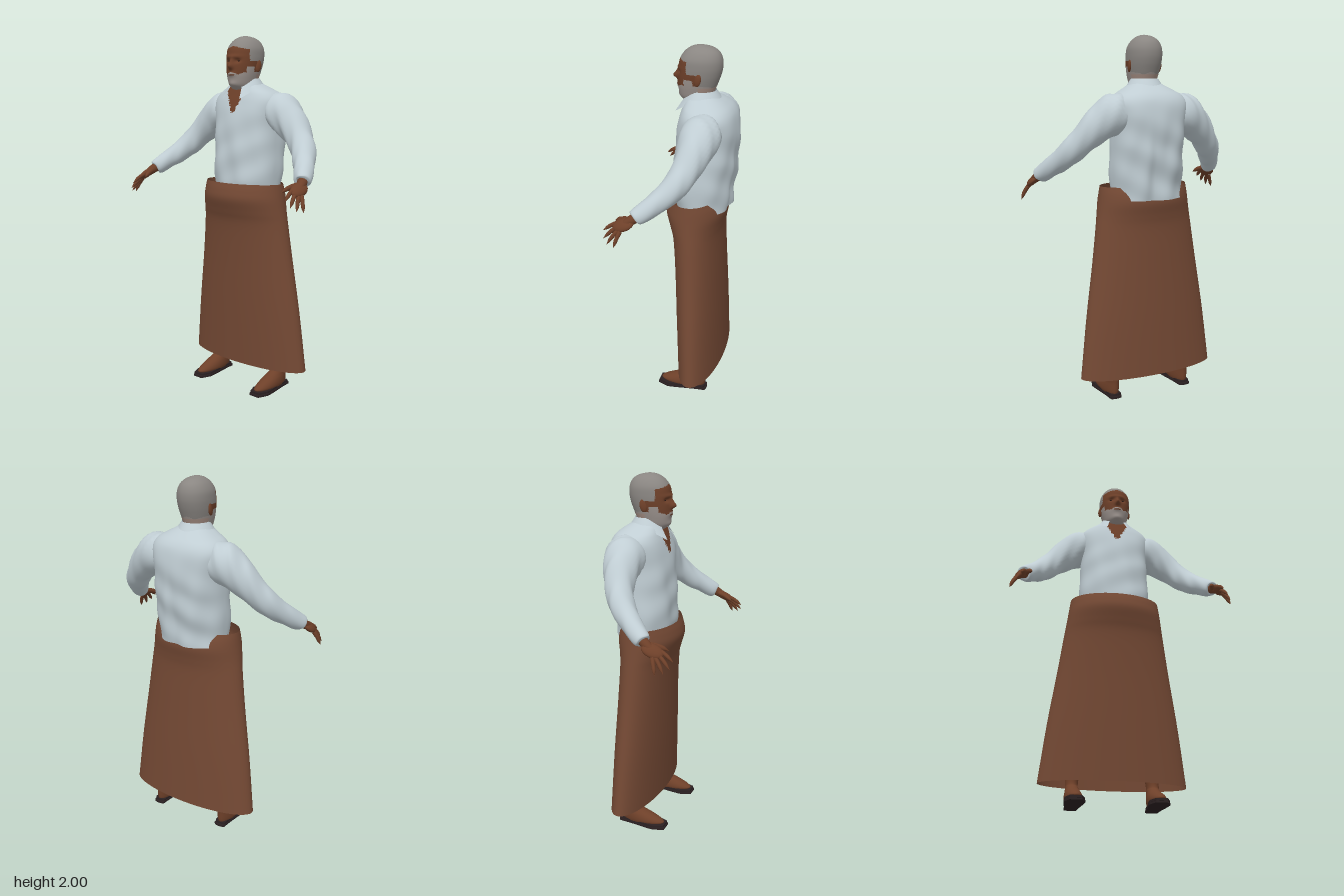
import * as THREE from 'three';
import { mergeVertices } from 'three/addons/utils/BufferGeometryUtils.js';

const V = (x, y, z) => new THREE.Vector3(x, y, z);

function paint(name, color, side = THREE.FrontSide) {
  const m = new THREE.MeshStandardMaterial({ color, side });
  m.name = name;
  return m;
}

// Smooth curve through table rows, each row being one cross-section
function sampler(rows) {
  const size = rows[0].length;
  const spline = new THREE.CubicInterpolant(
    Float32Array.from(rows.keys()), Float32Array.from(rows.flat()), size, new Float32Array(size));
  return t => Array.from(spline.evaluate(t * (rows.length - 1)));
}

// Grid surface; rule(x, y, z) picks the material index of each triangle
function grid(name, nu, nv, point, mats, rule = () => 0) {
  const pos = [], buckets = mats.map(() => []);
  for (let j = 0; j <= nv; j++)
    for (let i = 0; i <= nu; i++) pos.push(...point(i / nu, j / nv));
  const face = (...ids) => {
    const c = [0, 1, 2].map(k => ids.reduce((s, id) => s + pos[id * 3 + k], 0) / 3);
    buckets[rule(...c)].push(...ids);
  };
  for (let j = 0; j < nv; j++)
    for (let i = 0; i < nu; i++) {
      const a = j * (nu + 1) + i, b = a + 1, c = b + nu + 1, d = a + nu + 1;
      face(a, b, c);
      face(a, c, d);
    }
  let geo = new THREE.BufferGeometry();
  geo.setAttribute('position', new THREE.Float32BufferAttribute(pos, 3));
  geo.setIndex(buckets.flat());
  let start = 0;
  buckets.forEach((b, i) => { geo.addGroup(start, b.length, i); start += b.length; });
  geo = mergeVertices(geo, 1e-5);
  geo.computeVertexNormals();
  const mesh = new THREE.Mesh(geo, mats);
  mesh.name = name;
  return mesh;
}

// Stack of horizontal rings; rows are [y, centre x, half width, back z, front z]
function loft(name, rows, nu, nv, mats, { power = 2, rule, shape = p => p } = {}) {
  const at = sampler(rows);
  const bend = v => Math.sign(v) * Math.abs(v) ** (2 / power);
  return grid(name, nu, nv, (u, v) => {
    const [y, cx, rx, zb, zf] = at(v), a = (u % 1) * Math.PI * 2;
    return shape([cx + rx * bend(Math.sin(a)), y, (zb + zf) / 2 + (zf - zb) / 2 * bend(Math.cos(a))]);
  }, mats, rule);
}

// Round limb along a path with changing radius
function limb(name, path, radii, nu, nv, mat, shape = p => p) {
  const curve = new THREE.CatmullRomCurve3(path);
  const frames = curve.computeFrenetFrames(nv), radius = sampler(radii.map(r => [r]));
  return grid(name, nu, nv, (u, v) => {
    const a = (u % 1) * Math.PI * 2, k = Math.round(v * nv), r = radius(v)[0];
    const p = curve.getPoint(v)
      .addScaledVector(frames.normals[k], r * Math.cos(a))
      .addScaledVector(frames.binormals[k], r * Math.sin(a));
    return shape(p.toArray());
  }, [mat]);
}

const bump = (x, y, sx, sy) => Math.exp(-((x / sx) ** 2) - (y / sy) ** 2);

export function createModel() {
  const model = new THREE.Group();
  const skin = paint('skin', 0x6e4029);
  const napeSkin = paint('nape skin', 0xa68f84);
  const hair = paint('grey hair', 0x8a8682);
  const beard = paint('beard', 0x9c938e);
  const shirt = paint('shirt cloth', 0xc0cdd3, THREE.DoubleSide);
  const cloth = paint('skirt cloth', 0x744934, THREE.DoubleSide);
  const sole = paint('sandal', 0x2b2122);
  const dark = paint('eyes', 0x2c1a14);

  // Long wrapped skirt, open at both ends
  model.add(loft('skirt', [
    [0.125, 0, 0.405, -0.24, 0.01], [0.45, 0, 0.365, -0.232, 0.027], [0.75, 0, 0.32, -0.221, 0.042],
    [0.95, 0, 0.292, -0.215, 0.058], [1.03, 0, 0.28, -0.222, 0.08], [1.1, 0, 0.27, -0.235, 0.102],
    [1.15, 0, 0.263, -0.228, 0.095], [1.19, 0, 0.257, -0.21, 0.08],
  ], 64, 36, [cloth]));

  // Shirt body with soft folds and an open V neck
  const folds = ([x, y, z]) => {
    const low = THREE.MathUtils.clamp((1.66 - y) * 4, 0, 1);
    const f = low * 0.005 * (Math.sin(x * 42 + y * 9) + Math.sin(y * 34 - x * 16));
    const groove = z < -0.1 ? low * 0.012 * bump(x - 0.03, y - 1.35, 0.03, 0.25) : 0;
    return [x * (1 + f), y, z + (z > -0.1 ? f * 0.7 : -f) + groove];
  };
  model.add(loft('shirtBody', [
    [1.12, 0, 0.195, -0.25, 0.04], [1.2, 0, 0.2, -0.255, 0.06], [1.3, 0, 0.204, -0.27, 0.06],
    [1.4, 0, 0.2, -0.28, 0.058], [1.5, 0, 0.2, -0.286, 0.05], [1.58, 0, 0.21, -0.284, 0.04],
    [1.64, 0, 0.215, -0.272, 0.025], [1.68, 0, 0.19, -0.25, 0.012], [1.71, 0, 0.14, -0.215, 0.002],
    [1.735, 0, 0.095, -0.175, -0.008], [1.75, 0, 0.072, -0.155, -0.015],
  ], 112, 70, [shirt, skin], {
    power: 2.4, shape: folds,
    rule: (x, y, z) => (z > -0.06 && Math.abs(x) < (y - 1.565) * 0.5 ? 1 : 0),
  }));

  // Folded collar, open at the front with dropped points
  model.add(grid('collar', 48, 6, (u, v) => {
    const a = 0.5 + u * (Math.PI * 2 - 1), front = Math.max(0, Math.cos(a)) ** 2;
    const r = 0.074 + 0.034 * v + 0.02 * v * front;
    return [Math.sin(a) * r, 1.768 - 0.03 * front - v * (0.05 + 0.05 * front),
      -0.078 + Math.cos(a) * (r + 0.006 + 0.02 * v * front)];
  }, [shirt]));

  // Neck
  model.add(loft('neck', [
    [1.62, 0, 0.062, -0.14, -0.01], [1.7, 0, 0.06, -0.14, -0.012], [1.78, 0, 0.062, -0.145, -0.02],
  ], 40, 14, [skin, napeSkin], { rule: (x, y, z) => (z < -0.05 ? 1 : 0) }));

  // Head with brow, sockets, nose, lips and coloured hair and beard areas
  const features = ([x, y, z]) => {
    if (z < -0.02) return [x, y, z];
    const ax = Math.abs(x);
    return [x, y, z + 0.026 * bump(x, y - 1.832, 0.014, 0.016) + 0.012 * bump(x, y - 1.855, 0.01, 0.02)
      - 0.013 * bump(ax - 0.034, y - 1.862, 0.016, 0.011) + 0.006 * bump(x, y - 1.885, 0.05, 0.01)
      + 0.008 * bump(x, y - 1.79, 0.024, 0.012) + 0.007 * bump(x, y - 1.735, 0.03, 0.016)];
  };
  const headColor = (x, y, z) => {
    const ax = Math.abs(x);
    if (z < -0.075 && y < 1.79) return 2;
    if (y < 1.8 - 0.012 * bump(ax - 0.04, 0, 0.015, 1) || (y < 1.83 && z < 0.0 && z > -0.05))
      return ax < 0.02 && Math.abs(y - 1.786) < 0.004 ? 0 : 3;
    if (z > -0.015 && y < 1.942 - ax * 0.25) return 0;
    return z > -0.07 && y < 1.86 ? 0 : 1;
  };
  model.add(loft('head', [
    [1.7, 0, 0.01, -0.06, -0.02], [1.706, 0, 0.045, -0.11, 0.005], [1.73, 0, 0.063, -0.135, 0.032],
    [1.77, 0, 0.075, -0.152, 0.044], [1.81, 0, 0.084, -0.168, 0.047], [1.85, 0, 0.09, -0.182, 0.046],
    [1.89, 0, 0.092, -0.19, 0.042], [1.93, 0, 0.088, -0.188, 0.034], [1.965, 0, 0.07, -0.172, 0.01],
    [1.987, 0, 0.045, -0.14, -0.02], [1.997, 0, 0.02, -0.1, -0.05], [2, 0, 0.001, -0.076, -0.074],
  ], 96, 90, [skin, hair, napeSkin, beard], { power: 2.15, shape: features, rule: headColor }));

  const ellipsoid = (name, mat, p, s) => {
    const m = new THREE.Mesh(new THREE.SphereGeometry(1, 20, 14), mat);
    m.name = name;
    m.position.copy(p);
    m.scale.set(...s);
    model.add(m);
    return m;
  };

  for (const s of [1, -1]) {
    const side = s > 0 ? 'left' : 'right';
    const P = (x, y, z) => V(s * x, y, z);

    // Eyes and ears
    ellipsoid(side + 'Eye', dark, P(0.034, 1.861, 0.024), [0.012, 0.004, 0.005]);
    ellipsoid(side + 'Ear', skin, P(0.088, 1.835, -0.078), [0.01, 0.034, 0.02]).rotation.set(-0.2, s * -0.3, 0);

    // Sleeve, rumpled toward the cuff
    const rumple = ([x, y, z]) => {
      const w = 0.004 * Math.sin(Math.abs(x) * 75 + y * 22 + z * 30);
      return [x, y + w, z - w];
    };
    model.add(limb(side + 'Sleeve', [
      P(0.11, 1.61, -0.13), P(0.2, 1.585, -0.13), P(0.29, 1.525, -0.118), P(0.37, 1.445, -0.09),
      P(0.43, 1.375, -0.045), P(0.49, 1.305, 0.035), P(0.545, 1.247, 0.118), P(0.546, 1.246, 0.12),
    ], [0.07, 0.108, 0.092, 0.073, 0.066, 0.054, 0.041, 0.004], 32, 48, shirt, rumple));

    // Hand: flattened palm, four fingers and a thumb
    const across = P(0.75, -0.62, -0.2).normalize();
    const along = P(0.025, -0.05, 0.075).normalize();
    const up = along.clone().cross(across).normalize();
    const palm = ellipsoid(side + 'Palm', skin, P(0.563, 1.211, 0.176), [0.038, 0.02, 0.06]);
    palm.quaternion.setFromRotationMatrix(new THREE.Matrix4().makeBasis(across.clone(), up, across.clone().cross(up)));
    model.add(limb(side + 'Wrist', [P(0.53, 1.262, 0.095), P(0.548, 1.24, 0.13), P(0.562, 1.212, 0.172)],
      [0.028, 0.026, 0.02], 16, 8, skin));
    const finger = (name, a, b, r) => {
      const mid = a.clone().lerp(b, 0.5).addScaledVector(V(0, 1, 0), 0.006);
      model.add(limb(side + name, [a, mid, b], [r * 1.1, r * 1.1, r, r * 0.85, 0.0005], 10, 12, skin));
    };
    [['IndexFinger', -0.027, 0.56, 1.165, 0.285], ['MiddleFinger', -0.009, 0.585, 1.132, 0.277],
      ['RingFinger', 0.009, 0.606, 1.112, 0.252], ['LittleFinger', 0.026, 0.62, 1.105, 0.212],
    ].forEach(([name, off, x, y, z]) =>
      finger(name, P(0.566, 1.2, 0.19).addScaledVector(across, off), P(x, y, z), 0.0105));
    finger('Thumb', P(0.538, 1.232, 0.15), P(0.503, 1.2, 0.24), 0.013);

    // Leg running into a bare foot
    const c = s * 0.22;
    model.add(loft(side + 'LegAndFoot', [
      [0.018, c, 0.042, -0.165, 0.085], [0.032, c, 0.046, -0.17, 0.095], [0.048, c, 0.046, -0.172, 0.075],
      [0.066, c, 0.043, -0.173, 0.035], [0.085, c, 0.038, -0.174, -0.015], [0.105, c, 0.035, -0.176, -0.055],
      [0.14, c, 0.035, -0.178, -0.08], [0.3, s * 0.21, 0.05, -0.18, -0.07], [0.6, s * 0.17, 0.065, -0.17, -0.03],
      [0.9, s * 0.13, 0.08, -0.16, 0.0],
    ], 28, 50, [skin]));

    // Sandal: two stacked sole layers
    const outline = new THREE.Shape();
    outline.moveTo(-0.034, 0.17);
    outline.bezierCurveTo(-0.03, 0.186, 0.03, 0.186, 0.034, 0.17);
    outline.bezierCurveTo(0.036, 0.08, 0.054, 0.02, 0.055, -0.05);
    outline.lineTo(0.032, -0.108);
    outline.lineTo(-0.032, -0.108);
    outline.lineTo(-0.055, -0.05);
    outline.bezierCurveTo(-0.054, 0.02, -0.036, 0.08, -0.034, 0.17);
    [[0, 1], [0.013, 0.95]].forEach(([y, k], i) => {
      const m = new THREE.Mesh(new THREE.ExtrudeGeometry(outline, { depth: 0.011, bevelEnabled: false, curveSegments: 8 }), sole);
      m.name = side + (i ? 'Insole' : 'Outsole');
      m.rotation.x = -Math.PI / 2;
      m.scale.set(k, k, 1);
      m.position.set(c, y, 0);
      model.add(m);
    });
  }
  return model;
}
